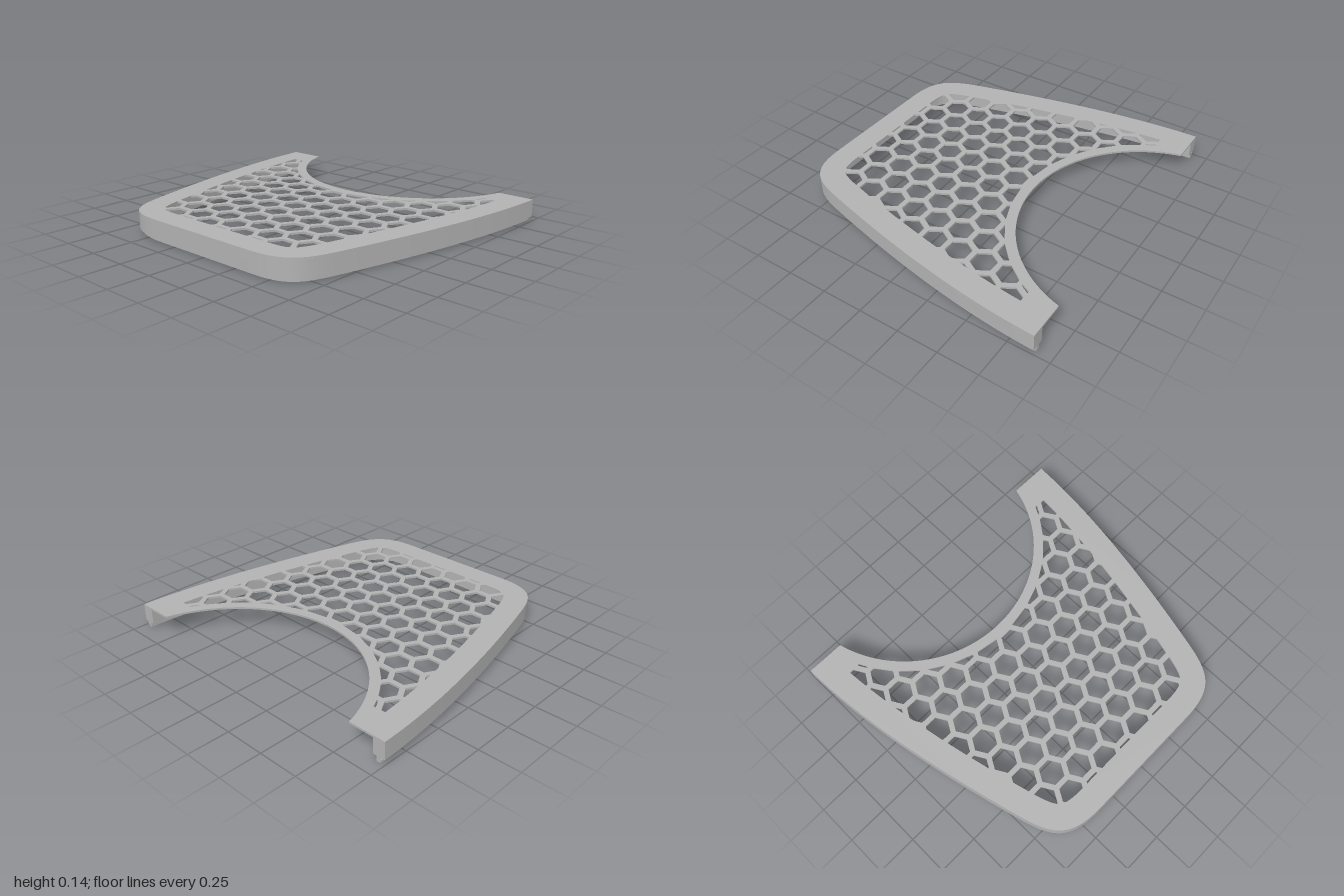
import * as THREE from 'three';
import { toCreasedNormals } from 'three/addons/utils/BufferGeometryUtils.js';

const V = (x, y) => new THREE.Vector2(x, y);
const END_X = 0.905;                                  // open end of the frame
const ARC = { x: 1.099, r: 0.789 };                   // round cut-out
const PITCH = 0.164, HEX_R = 0.0765;                  // honeycomb spacing and hole radius

// Outer contour, counter-clockwise from one open end round to the other
function contour() {
  const side = new THREE.QuadraticBezierCurve(V(END_X, 1), V(0.3, 0.985), V(-0.62, 0.735)).getPoints(20);
  const corner = new THREE.CubicBezierCurve(V(-0.62, 0.735), V(-0.82, 0.68), V(-0.91, 0.62), V(-0.91, 0.38)).getPoints(18);
  const half = [...side, ...corner.slice(1)];
  return [...half, ...half.map(p => V(p.x, -p.y)).reverse()];
}
const OUTER = contour();

// Contour moved inwards by d
function inset(d) {
  const last = OUTER.length - 1;
  return OUTER.map((p, i) => {
    if (i === 0 || i === last) return V(END_X, p.y - Math.sign(p.y) * d);
    const t = OUTER[i + 1].clone().sub(OUTER[i - 1]).normalize();
    return V(p.x - t.y * d, p.y + t.x * d);
  });
}

// Keep the part of a polygon on the side of the line that n points to
function clip(poly, point, n) {
  const out = [];
  poly.forEach((a, i) => {
    const b = poly[(i + 1) % poly.length];
    const da = a.clone().sub(point).dot(n), db = b.clone().sub(point).dot(n);
    if (da >= 0) out.push(a);
    if (da * db < 0) out.push(a.clone().lerp(b, da / (da - db)));
  });
  return out;
}

// Hexagonal holes, trimmed to the border and to the rim of the cut-out
function honeycomb() {
  const border = inset(0.15), holes = [];
  for (let row = -6; row <= 6; row++) {
    for (let col = -3; col <= 8; col++) {
      const c = V(-0.487 + (col + (row % 2 ? 0.5 : 0)) * PITCH, row * PITCH * Math.sqrt(3) / 2);
      let poly = [];
      for (let k = 0; k < 6; k++) {
        const a = Math.PI / 6 + k * Math.PI / 3;
        poly.push(V(c.x + HEX_R * Math.cos(a), c.y + HEX_R * Math.sin(a)));
      }
      for (let i = 0; i < border.length - 1; i++) {
        const e = border[i + 1].clone().sub(border[i]);
        poly = clip(poly, border[i], V(-e.y, e.x));
      }
      poly = clip(poly, V(0.73, 0), V(-1, 0));
      const out = c.clone().sub(V(ARC.x, 0)).normalize();
      poly = clip(poly, V(ARC.x, 0).addScaledVector(out, ARC.r + 0.06), out);
      poly = poly.filter((p, i) => p.distanceTo(poly[(i + 1) % poly.length]) > 0.002);
      if (poly.length > 2 && Math.abs(THREE.ShapeUtils.area(poly)) > 0.0002) holes.push(new THREE.Path(poly.reverse()));
    }
  }
  return holes;
}

export function createModel() {
  const model = new THREE.Group();
  model.name = 'honeycombCover';
  const grey = new THREE.MeshStandardMaterial({ color: 0xb2b2b2 });
  grey.name = 'grey';

  // Extrude a plan shape upwards from y0 to y1
  const slab = (name, shape, y0, y1) => {
    const geo = new THREE.ExtrudeGeometry(shape, { depth: y1 - y0, bevelEnabled: false });
    geo.rotateX(-Math.PI / 2).translate(0, y0, 0);
    const mesh = new THREE.Mesh(toCreasedNormals(geo, 0.5), grey);
    mesh.name = name;
    model.add(mesh);
  };
  // U-shaped band between two insets of the contour
  const band = (name, d0, d1, y0, y1) =>
    slab(name, new THREE.Shape([...inset(d0), ...inset(d1).reverse()]), y0, y1);

  // Perforated top plate with the round cut-out
  const a0 = Math.atan2(0.765, END_X - ARC.x), arc = [];
  for (let i = 0; i <= 60; i++) {
    const a = THREE.MathUtils.lerp(2 * Math.PI - a0, a0, i / 60);
    arc.push(V(ARC.x + ARC.r * Math.cos(a), ARC.r * Math.sin(a)));
  }
  const plate = new THREE.Shape([...OUTER, ...arc]);
  plate.holes = honeycomb();
  slab('topPlate', plate, 0.128, 0.14);

  // Side wall, locating lip below it and the snap bead on the lip
  band('sideWall', 0, 0.077, 0.032, 0.128);
  band('lip', 0.03, 0.052, 0, 0.032);
  band('snapBead', 0.02, 0.03, 0.008, 0.024);

  return model;
}
